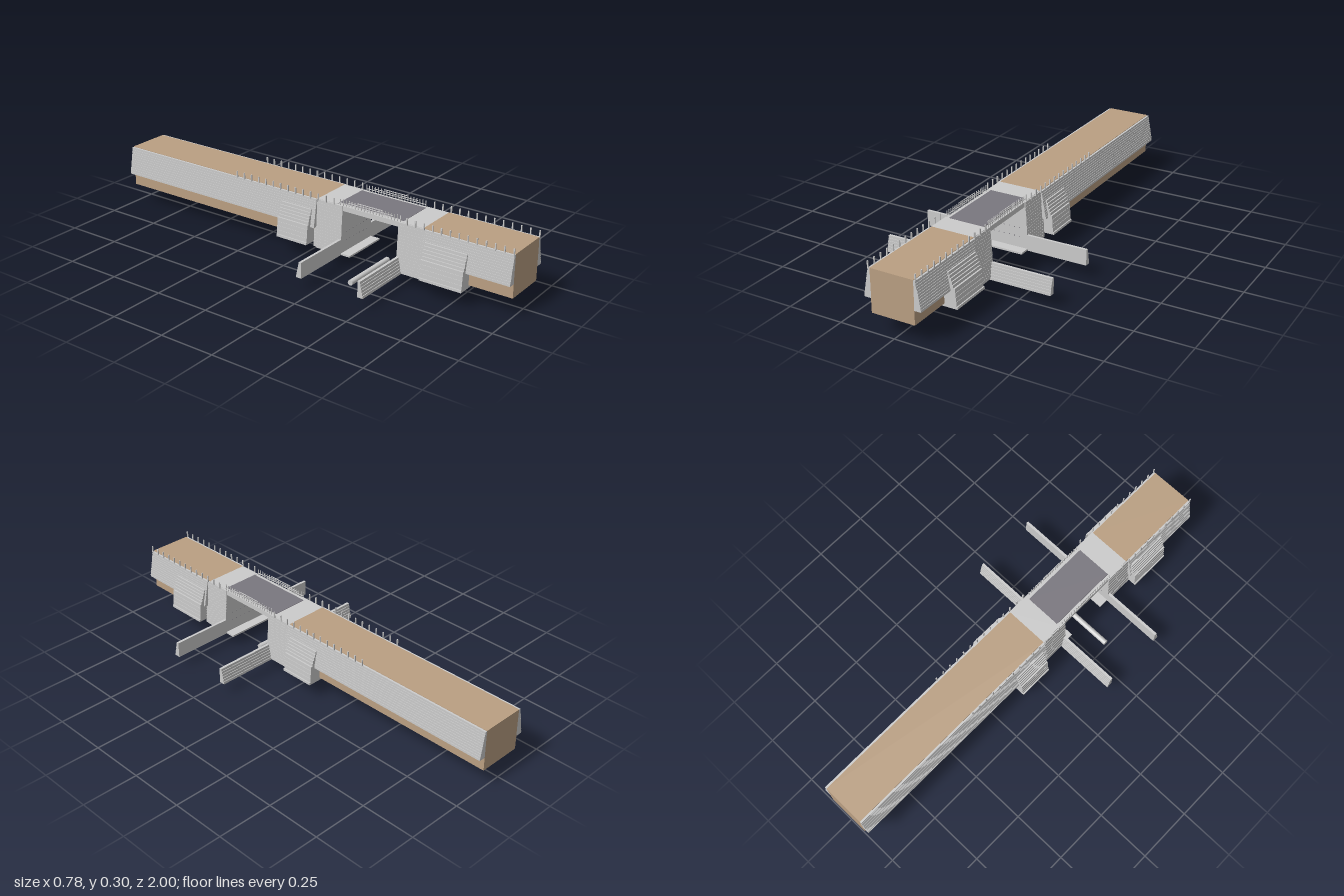
import * as THREE from 'three';

const GREY = new THREE.MeshStandardMaterial({ color: 0xcccccc, flatShading: true });
const EARTH = new THREE.MeshStandardMaterial({ color: 0xba9f82, flatShading: true });
const ASPHALT = new THREE.MeshStandardMaterial({ color: 0x7a777f, flatShading: true });

// Points climbing from a wide bottom to a narrow top in n stone courses
function courses(xBottom, yBottom, xTop, yTop, n) {
  const pts = [];
  for (let i = 0; i < n; i++) {
    const x = xBottom + (xTop - xBottom) * (i / (n - 1));
    pts.push([x, yBottom + (yTop - yBottom) * (i / n)]);
    pts.push([x, yBottom + (yTop - yBottom) * ((i + 1) / n)]);
  }
  return pts;
}

// Prism along z, centred on its own middle
function prism(points, length) {
  const shape = new THREE.Shape(points.map(([x, y]) => new THREE.Vector2(x, y)));
  const geo = new THREE.ExtrudeGeometry(shape, { depth: length, bevelEnabled: false });
  return geo.translate(0, 0, -length / 2);
}

export function createModel() {
  const root = new THREE.Group();

  function add(name, geo, mat, x = 0, y = 0, z = 0, ry = 0) {
    const mesh = new THREE.Mesh(geo, mat);
    mesh.name = name;
    mesh.position.set(x, y, z);
    mesh.rotation.y = ry;
    root.add(mesh);
    return mesh;
  }
  function box(name, mat, [x0, x1], [y0, y1], [z0, z1]) {
    return add(name, new THREE.BoxGeometry(x1 - x0, y1 - y0, z1 - z0), mat,
      (x0 + x1) / 2, (y0 + y1) / 2, (z0 + z1) / 2);
  }

  // Profiles of the masonry, seen along the road
  const wallProfile = [[0.097, 0.147], ...courses(0.128, 0.147, 0.107, 0.272, 12), [0.097, 0.272]];
  const buttressProfile = [
    [0.083, 0.073], [0.157, 0.073], [0.157, 0.084],
    ...courses(0.152, 0.084, 0.147, 0.16, 4),
    ...courses(0.14, 0.16, 0.121, 0.225, 5), [0.083, 0.225],
  ];
  const right = courses(0.116, 0.058, 0.103, 0.272, 16);
  const abutmentProfile = [...right, ...right.map(([x, y]) => [-x, y]).reverse()];

  // Each bank: z ranges, and the direction pointing away from the opening
  const banks = [
    { earth: [0.59, 1], wall: [0.6, 1], buttress: [0.61, 0.805], abutment: [0.475, 0.612],
      slab: [0.49, 0.59], footing: [0.43, 0.605], face: 0.475, away: 1 },
    { earth: [-1, 0.07], wall: [-1, 0.07], buttress: [-0.11, 0.05], abutment: [0.06, 0.2],
      slab: [0.07, 0.17], footing: [0.07, 0.245], face: 0.2, away: -1 },
  ];

  for (const b of banks) {
    const mid = ([a, c]) => (a + c) / 2, len = ([a, c]) => c - a;

    box('earthEmbankment', EARTH, [-0.098, 0.098], [0.085, 0.274], b.earth);
    add('abutment', prism(abutmentProfile, len(b.abutment)), GREY, 0, 0, mid(b.abutment));
    box('abutmentFooting', GREY, [-0.112, 0.112], [0.052, 0.06], b.footing);
    box('approachSlab', GREY, [-0.098, 0.098], [0.262, 0.274], b.slab);

    for (const side of [1, -1]) {
      const turn = side > 0 ? 0 : Math.PI;
      add('retainingWall', prism(wallProfile, len(b.wall)), GREY, 0, 0, mid(b.wall), turn);
      add('buttress', prism(buttressProfile, len(b.buttress)), GREY, 0, 0, mid(b.buttress), turn);

      // Wing walls along the stream, stepped on the bank side
      const wing = [[0, 0.052], ...courses(0.026, 0.052, 0.012, 0.123, 6), [0, 0.123]];
      add('wingWall', prism(wing, 0.285), GREY, side * 0.2475, 0, b.face, -b.away * Math.PI / 2);
    }

    // Small drain holes marked on the abutment face
    for (let i = -3; i <= 3; i++) {
      for (const y of [0.11, 0.15]) {
        const drain = add('drain', new THREE.CylinderGeometry(0.002, 0.002, 0.002, 8), ASPHALT,
          i * 0.025, y, b.face - b.away * 0.0005);
        drain.rotation.x = Math.PI / 2;
      }
    }
  }

  // Bridge deck over the opening
  box('deckBeam', GREY, [-0.1, 0.1], [0.25, 0.272], [0.17, 0.49]);
  box('roadSurface', ASPHALT, [-0.082, 0.082], [0.262, 0.2755], [0.17, 0.49]);

  // Guard posts along the walls and railings on the bridge
  const postGeo = new THREE.BoxGeometry(0.005, 0.03, 0.005);
  const balusterGeo = new THREE.BoxGeometry(0.003, 0.028, 0.003);
  for (const side of [1, -1]) {
    for (let z = 0.997; z > -0.38; z -= 0.04) {
      if (z > 0.17 && z < 0.49) continue;
      add('guardPost', postGeo, GREY, side * 0.106, 0.285, z);
    }
    for (let i = 0; i <= 20; i++) {
      add('baluster', balusterGeo, GREY, side * 0.097, 0.286, 0.185 + i * 0.0148);
    }
    for (const y of [0.282, 0.29, 0.299]) {
      const reach = y > 0.295 ? 0.06 : y > 0.285 ? 0.11 : 0.148;
      box('handrail', GREY, [side * 0.097 - 0.0015, side * 0.097 + 0.0015],
        [y - 0.0012, y + 0.0012], [0.333 - reach, 0.333 + reach]);
    }
  }

  // Pipe lying in the stream bed
  const pipe = add('pipe', new THREE.CylinderGeometry(0.012, 0.012, 0.277, 20),
    new THREE.MeshStandardMaterial({ color: 0xcccccc }), -0.0985, 0.012, 0.335);
  pipe.rotation.z = Math.PI / 2;

  return root;
}
